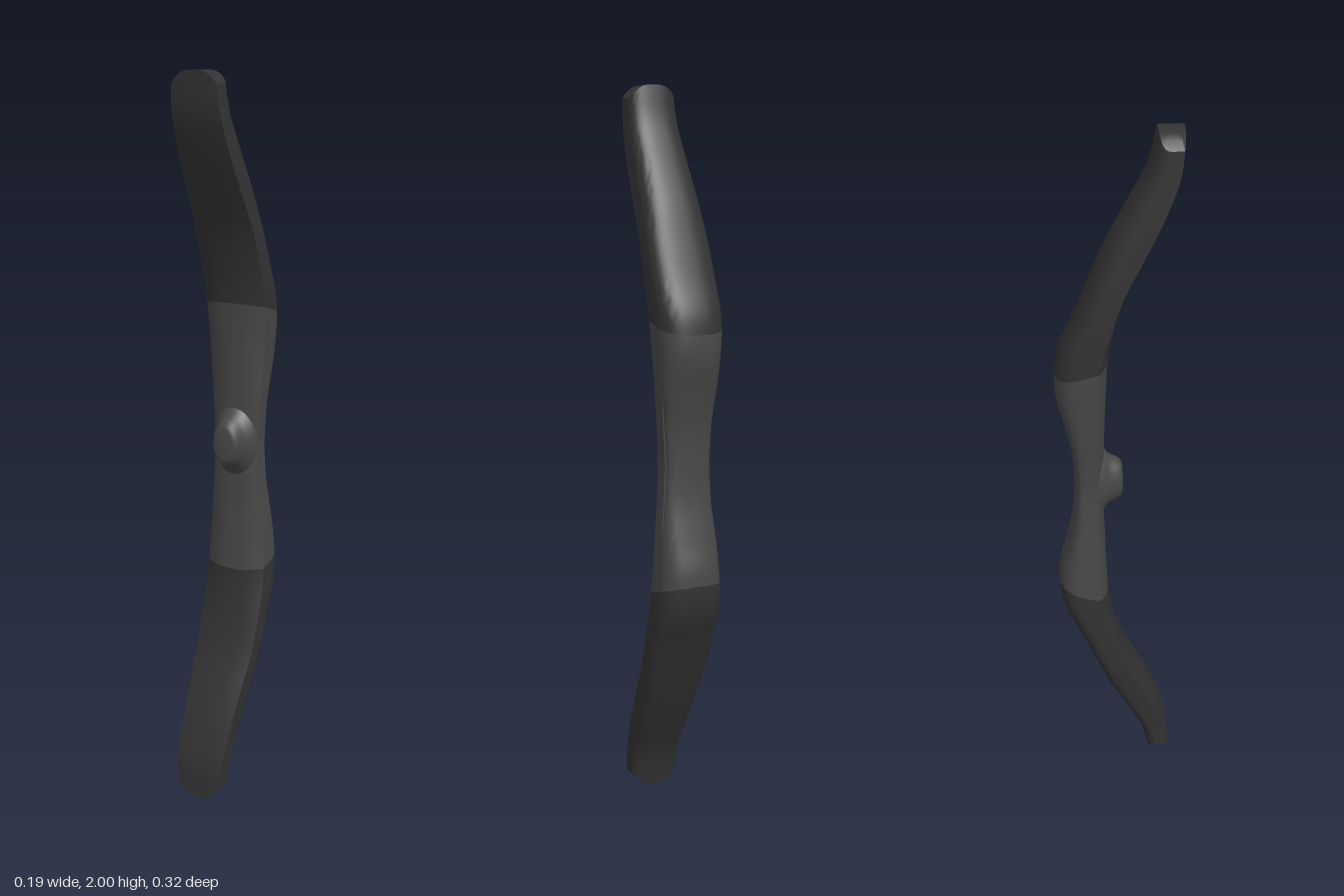
import * as THREE from 'three';
import { toCreasedNormals } from 'three/addons/utils/BufferGeometryUtils.js';

// Profile sampled every 0.1 away from mid height: front z, back z, half width
const FRONT = [-0.032, -0.031, -0.028, -0.024, -0.018, 0.0, 0.03, 0.077, 0.122, 0.156, 0.165];
const BACK = [-0.112, -0.117, -0.137, -0.159, -0.151, -0.108, -0.068, -0.027, 0.025, 0.075, 0.1];
const WIDTH = [0.068, 0.073, 0.08, 0.087, 0.092, 0.092, 0.089, 0.083, 0.077, 0.071, 0.066];
const SEAM = 0.38, MID = 1.015;

// Smooth lookup in a profile, mirrored at the middle
function sample(table, d) {
  const n = table.length - 1;
  const i = Math.min(Math.floor(d * 10), n - 1), t = d * 10 - i;
  const at = (k) => (k > n ? 2 * table[n] - table[n - 1] : table[Math.abs(k)]);
  const [a, b, c, e] = [at(i - 1), at(i), at(i + 1), at(i + 2)];
  return b + 0.5 * t * (c - a + t * (2 * a - 5 * b + 4 * c - e + t * (3 * (b - c) + e - a)));
}

// Cross-section in unit form [x: -1..1, depth: 0 front..1 back]:
// crowned front, flat sides, rounded back with a stepped palm relief
function section(d) {
  const crown = THREE.MathUtils.lerp(0.22, 0.06, THREE.MathUtils.smoothstep(d, 0.2, 0.9));
  const side = 0.5 + 0.2 * Math.max(0, 1 - (d / 0.3) ** 2);
  const relief = 1 - 0.07 * Math.max(0, 1 - (d / 0.23) ** 2);
  const pts = [];
  for (let i = 0; i <= 12; i++) {
    const x = -1 + i / 6;
    pts.push([x, crown * Math.abs(x) ** 2.5]);
  }
  pts.push([1, (crown + side) / 2], [1, side]);
  for (let i = 0; i <= 20; i++) {
    const a = (i / 20) * Math.PI, c = Math.cos(a);
    pts.push([
      relief * Math.sign(c) * Math.abs(c) ** 0.8,
      side + (1 - side) * Math.max(0, Math.sin(a)) ** 0.8,
    ]);
  }
  pts.push([-1, side], [-1, (crown + side) / 2]);
  return pts;
}

// Place a unit section point at height y
function place([x, u], y) {
  const d = Math.min(1, Math.abs(y - 1));
  return [x * sample(WIDTH, d), y, THREE.MathUtils.lerp(sample(FRONT, d), sample(BACK, d), u)];
}

// Skin closed rings that run upwards
function skin(rings) {
  const n = rings[0].length, index = [];
  for (let j = 0; j < rings.length - 1; j++) {
    for (let i = 0; i < n; i++) {
      const a = j * n + i, b = j * n + ((i + 1) % n);
      index.push(a, b, b + n, a, b + n, a + n);
    }
  }
  const g = new THREE.BufferGeometry();
  g.setAttribute('position', new THREE.Float32BufferAttribute(rings.flat(2), 3));
  g.setIndex(index);
  return toCreasedNormals(g, 0.6);
}

// Seam height leans towards the middle at the back
const seamY = (u, s) => MID + s * (SEAM - 0.04 * u);
const tipY = (x, s) => 1 + s * (1 - 0.035 * Math.abs(x) ** 3);

function limbGeometry(s) {
  const rings = [], rows = 36;
  const seam = section(SEAM);
  for (let j = 0; j <= rows; j++) {
    const t = j / rows;
    const d = THREE.MathUtils.lerp(SEAM, 1, t);
    rings.push(section(d).map((p, i) =>
      place(p, THREE.MathUtils.lerp(seamY(seam[i][1], s), tipY(p[0], s), t))));
  }
  // Arched end cap, closing in towards its centre
  for (const k of [0.75, 0.5, 0.25, 0]) {
    rings.push(section(1).map(([x, u]) => place([x * k, 0.5 + (u - 0.5) * k], tipY(x * k, s))));
  }
  return skin(s > 0 ? rings : rings.reverse());
}

function gripGeometry() {
  const rings = [], rows = 44, seam = section(SEAM);
  for (let j = 0; j <= rows; j++) {
    const t = j / rows;
    const d = Math.abs(MID + SEAM * (2 * t - 1) - 1);
    rings.push(section(d).map((p, i) =>
      place(p, THREE.MathUtils.lerp(seamY(seam[i][1], -1), seamY(seam[i][1], 1), t))));
  }
  return skin(rings);
}

export function createModel() {
  const group = new THREE.Group();
  const limbMat = new THREE.MeshStandardMaterial({ color: 0x333333 });
  const gripMat = new THREE.MeshStandardMaterial({ color: 0x484848 });
  const add = (name, geometry, material) => {
    const mesh = new THREE.Mesh(geometry, material);
    mesh.name = name;
    group.add(mesh);
    return mesh;
  };

  add('upperLimb', limbGeometry(1), limbMat);
  add('lowerLimb', limbGeometry(-1), limbMat);
  add('grip', gripGeometry(), gripMat);

  // Flared oval knob on the front of the grip
  const profile = [
    [0.105, -0.05], [0.098, -0.033], [0.08, -0.022], [0.07, -0.008],
    [0.065, 0.004], [0.056, 0.015], [0.043, 0.02], [0, 0.021],
  ].map(([r, h]) => new THREE.Vector2(r, h));
  const knob = add('frontKnob', new THREE.LatheGeometry(profile, 32), gripMat);
  knob.geometry.rotateX(Math.PI / 2).scale(0.65, 1, 1);
  knob.position.y = 1.008;

  return group;
}
